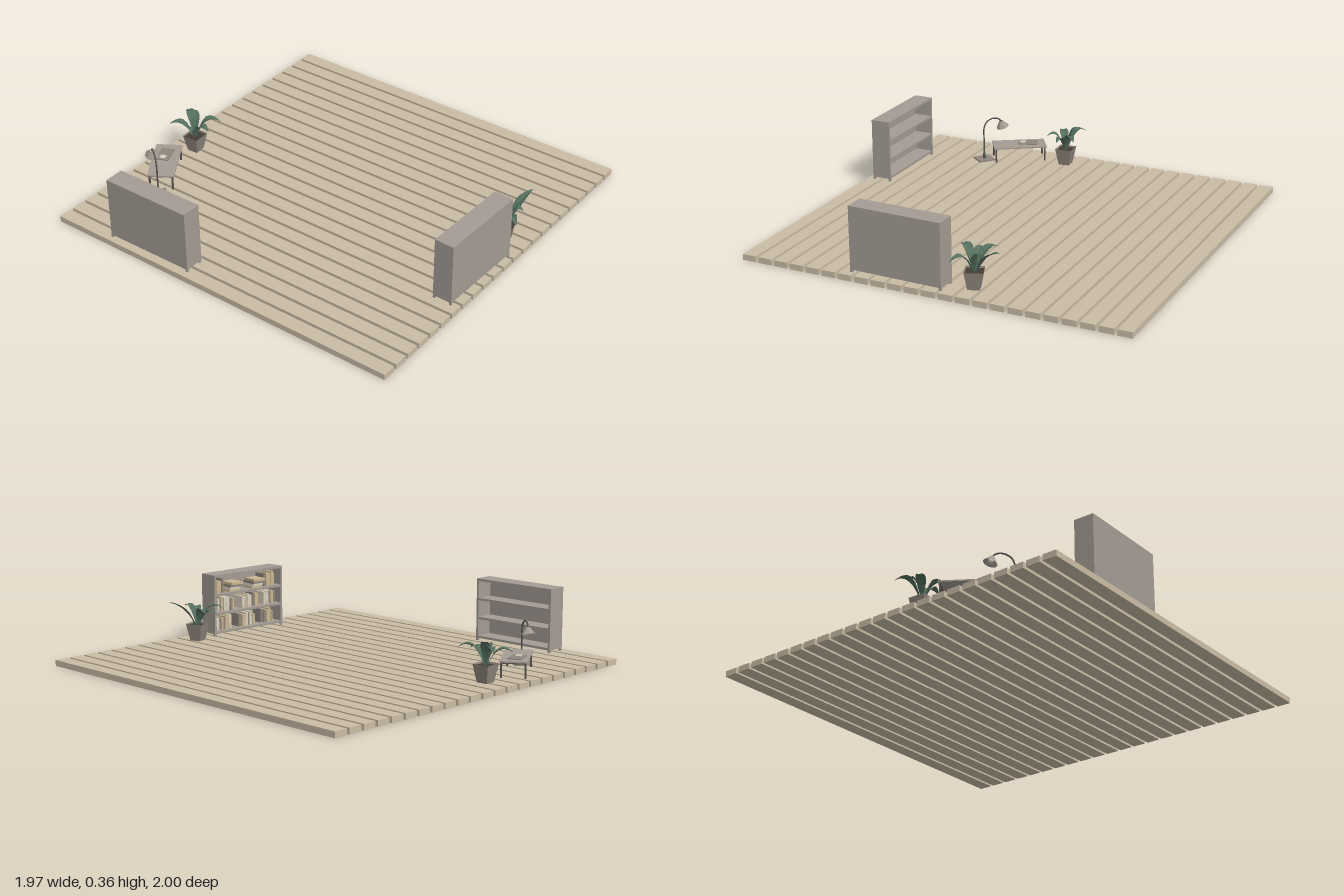
import * as THREE from 'three';

const mat = (name, color) => {
  const m = new THREE.MeshStandardMaterial({ color, side: THREE.DoubleSide, flatShading: true });
  m.name = name;
  return m;
};

export function createModel() {
  const M = {
    plank: mat('pale wood', 0xcabca5),
    grey: mat('warm grey', 0xa39b93),
    pot: mat('pot grey', 0x8f867c),
    metal: mat('dark metal', 0x55524f),
    leaf: mat('leaf green', 0x55705f),
    soil: mat('soil', 0x453c34),
    tan: mat('tan cover', 0xcbb791),
    cream: mat('cream cover', 0xd8cfbd),
  };
  const root = new THREE.Group();

  const add = (parent, name, geo, material, x = 0, y = 0, z = 0) => {
    const m = new THREE.Mesh(geo, material);
    m.name = name;
    m.position.set(x, y, z);
    parent.add(m);
    return m;
  };
  const box = (parent, name, material, w, h, d, x, y, z) =>
    add(parent, name, new THREE.BoxGeometry(w, h, d), material, x, y, z);
  const group = (name, x, z, angle = 0, y = 0.03) => {
    const g = new THREE.Group();
    g.name = name;
    g.position.set(x, y, z);
    g.rotation.y = angle;
    root.add(g);
    return g;
  };

  // Floor of separate planks
  const floor = group('floor', 0, 0, 0, 0);
  for (let i = 0; i < 23; i++) {
    box(floor, 'plank', M.plank, 1.97, 0.03, 0.072, 0, 0.015, -0.964 + i * 1.928 / 22);
  }

  // Bookcase, open towards its own +z
  const W = 0.483, H = 0.33, D = 0.103, T = 0.012, base = 0.013;
  const levels = [base, 0.114, 0.215];
  const bookcase = (name, x, z, angle) => {
    const g = group(name, x, z, angle);
    for (const s of [-1, 1]) {
      box(g, 'sidePanel', M.grey, T, H - base, D, s * (W - T) / 2, (H + base) / 2, 0);
      for (const f of [-1, 1]) {
        box(g, 'foot', M.grey, T, base, 0.012, s * (W - T) / 2, base / 2, f * (D - 0.012) / 2);
      }
    }
    box(g, 'topPanel', M.grey, W - 2 * T, T, D, 0, H - T / 2, 0);
    box(g, 'backPanel', M.grey, W - 2 * T, H - base - T, 0.006, 0, (H + base - T) / 2, -D / 2 + 0.003);
    for (const y of levels) {
      box(g, 'shelf', M.grey, W - 2 * T, T, D - 0.008, 0, y + T / 2, 0.003);
    }
    return g;
  };
  bookcase('emptyBookcase', -0.425, 0.916, Math.PI + 0.01);
  const full = bookcase('filledBookcase', 0.902, 0.185, -Math.PI / 2 - 0.022);

  // Upright books in runs, with gaps between them
  let seed = 11;
  const rnd = () => (seed = (seed * 16807) % 2147483647) / 2147483647;
  const covers = [M.tan, M.cream, M.pot, M.tan];
  const runs = [
    [0, -0.22, -0.1], [0, -0.05, 0.06], [0, 0.11, 0.2],
    [1, -0.2, -0.08], [1, -0.03, 0.09], [1, 0.13, 0.22],
    [2, -0.22, -0.15], [2, 0.13, 0.21],
  ];
  for (const [row, from, to] of runs) {
    for (let x = from; x < to - 0.01;) {
      const w = 0.011 + rnd() * 0.01, h = 0.058 + rnd() * 0.02, d = 0.062 + rnd() * 0.012;
      box(full, 'book', covers[Math.floor(rnd() * 4)], w - 0.001, h, d,
        x + w / 2, levels[row] + T + h / 2, -0.043 + d / 2);
      x += w;
    }
  }
  // Stacks of lying books that stick out of the upper row
  for (const cx of [-0.095, 0.065]) {
    for (let i = 0; i < 4; i++) {
      const b = box(full, 'lyingBook', covers[i], 0.075, 0.013, 0.075 + i * 0.004,
        cx, levels[2] + T + 0.0065 + i * 0.0135, 0.004 + i * 0.007);
      b.rotation.y = (rnd() - 0.5) * 0.2;
    }
  }

  // Small desk with a notebook
  const desk = group('desk', -0.82, 0.407, -1.0);
  box(desk, 'deskTop', M.grey, 0.29, 0.007, 0.136, 0, 0.08, 0);
  for (const sx of [-1, 1]) {
    for (const sz of [-1, 1]) {
      box(desk, 'deskLeg', M.metal, 0.009, 0.077, 0.009, sx * 0.134, 0.0385, sz * 0.058);
    }
    box(desk, 'deskRail', M.metal, 0.006, 0.007, 0.11, sx * 0.134, 0.073, 0);
  }
  const notebook = box(desk, 'notebook', M.pot, 0.105, 0.005, 0.068, -0.05, 0.086, 0.008);
  notebook.rotation.y = -0.2;
  box(notebook, 'page', M.cream, 0.03, 0.002, 0.03, 0.028, 0.0035, 0);

  // Arched floor lamp
  const lamp = group('lamp', -0.72, 0.573);
  const plate = box(lamp, 'lampBase', M.pot, 0.09, 0.007, 0.093, 0, 0.0035, 0);
  plate.rotation.y = 0.905;
  const stem = new THREE.CatmullRomCurve3([
    [0, 0, 0], [0, 0.1, 0], [0, 0.18, 0], [-0.012, 0.21, -0.008],
    [-0.04, 0.227, -0.028], [-0.07, 0.222, -0.05], [-0.085, 0.205, -0.062],
  ].map(p => new THREE.Vector3(...p)));
  add(lamp, 'lampStem', new THREE.TubeGeometry(stem, 24, 0.0042, 6), M.metal);
  add(lamp, 'lampCollar', new THREE.CylinderGeometry(0.007, 0.009, 0.03, 8), M.metal, 0, 0.02, 0);
  const shade = add(lamp, 'lampShade',
    new THREE.CylinderGeometry(0.01, 0.036, 0.036, 8, 1, true), M.grey, -0.088, 0.188, -0.064);
  shade.rotation.set(0.2, 0, -0.25);
  add(shade, 'lampBulb', new THREE.SphereGeometry(0.012, 8, 6), M.cream, 0, -0.006, 0);

  // Arching leaf: rows of left edge, folded midrib, right edge along a curve
  const widths = [0.005, 0.012, 0.02, 0.024, 0.021, 0.013, 0.001];
  const leafGeometry = (dx, dz, rise, tipY) => {
    const curve = new THREE.QuadraticBezierCurve3(
      new THREE.Vector3(dx * 0.06, 0.075, dz * 0.06),
      new THREE.Vector3(dx * 0.38, rise, dz * 0.38),
      new THREE.Vector3(dx, tipY, dz));
    const side = new THREE.Vector3(-dz, 0, dx).normalize();
    const pos = [], idx = [];
    widths.forEach((w, i) => {
      const p = curve.getPoint(i / (widths.length - 1));
      for (const s of [-1, 0, 1]) {
        pos.push(p.x + side.x * w * s, p.y + (s ? w * 0.35 : 0), p.z + side.z * w * s);
      }
      if (i) {
        for (const k of [0, 1]) {
          const a = (i - 1) * 3 + k, b = a + 3;
          idx.push(a, a + 1, b, a + 1, b + 1, b);
        }
      }
    });
    const g = new THREE.BufferGeometry();
    g.setAttribute('position', new THREE.Float32BufferAttribute(pos, 3));
    g.setIndex(idx);
    g.computeVertexNormals();
    return g;
  };

  // Potted plants with a square tapered pot
  const plant = (name, x, z, angle, leaves) => {
    const g = group(name, x, z);
    const r = Math.SQRT1_2;
    const pot = add(g, 'pot', new THREE.CylinderGeometry(0.09 * r, 0.058 * r, 0.09, 4, 1, true), M.pot, 0, 0.045, 0);
    const bottom = add(g, 'potBottom', new THREE.CylinderGeometry(0.058 * r, 0.058 * r, 0.003, 4), M.pot, 0, 0.0015, 0);
    const soil = add(g, 'soil', new THREE.CylinderGeometry(0.084 * r, 0.084 * r, 0.003, 4), M.soil, 0, 0.08, 0);
    for (const p of [pot, bottom, soil]) p.rotation.y = Math.PI / 4 + angle;
    for (const l of leaves) add(g, 'leaf', leafGeometry(...l), M.leaf);
  };
  plant('leftPlant', -0.85, 0.14, 0.06, [
    [0.103, -0.09, 0.23, 0.165], [-0.11, -0.075, 0.23, 0.165], [-0.11, 0.07, 0.2, 0.15],
    [0.055, 0.09, 0.21, 0.16], [0.105, 0.01, 0.2, 0.15], [-0.03, -0.05, 0.2, 0.205],
  ]);
  plant('rightPlant', 0.86, -0.175, 0.35, [
    [0.048, -0.155, 0.19, 0.215], [-0.13, -0.06, 0.22, 0.165], [-0.135, 0.018, 0.2, 0.15],
    [-0.085, 0.11, 0.23, 0.165], [0.1, 0.075, 0.21, 0.15], [0.08, -0.02, 0.22, 0.175],
  ]);

  return root;
}
